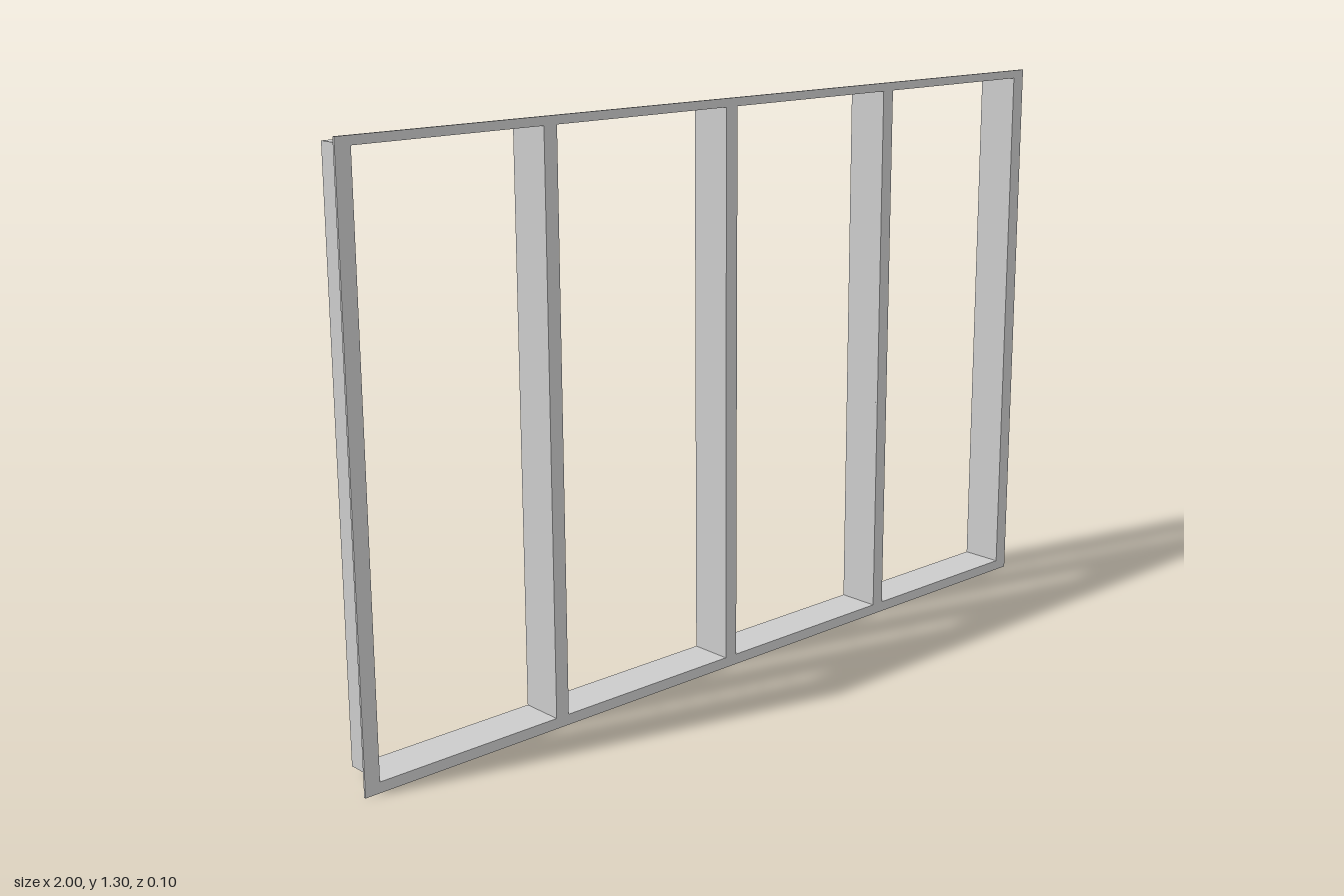
import * as THREE from 'three';

const HEIGHT = 1.305, FRONT = 0.05, PLATE = 0.005, BACK = -0.05;
const BOTTOM = 0.024, TOP = 1.286;
// left and right edge of each opening
const BAYS = [[-0.965, -0.517], [-0.484, -0.019], [0.014, 0.484], [0.516, 0.965]];

// rectangular outline as a path or shape
function rectangle(path, x0, y0, x1, y1) {
  return path.moveTo(x0, y0).lineTo(x1, y0).lineTo(x1, y1).lineTo(x0, y1).closePath();
}

export function createModel() {
  const group = new THREE.Group();
  group.name = 'fourBayFrame';
  const material = new THREE.MeshStandardMaterial({ color: 0xcccccc, side: THREE.DoubleSide });

  // thin front plate with four openings
  const face = rectangle(new THREE.Shape(), -1, 0, 1, HEIGHT);
  for (const [x0, x1] of BAYS) face.holes.push(rectangle(new THREE.Path(), x0, BOTTOM, x1, TOP));
  const plate = new THREE.Mesh(
    new THREE.ExtrudeGeometry(face, { depth: PLATE, bevelEnabled: false }), material);
  plate.position.z = FRONT - PLATE;
  plate.name = 'frontPlate';
  group.add(plate);

  // thin sheet sleeve lining each opening, running to the back
  const depth = FRONT - PLATE - BACK, zMid = BACK + depth / 2;
  const yMid = (BOTTOM + TOP) / 2;
  BAYS.forEach(([x0, x1], i) => {
    const sleeve = new THREE.Group();
    sleeve.name = `sleeve${i + 1}`;
    const addSheet = (name, geometry, x, y) => {
      const sheet = new THREE.Mesh(geometry, material);
      sheet.name = name;
      sheet.position.set(x, y, zMid);
      sleeve.add(sheet);
    };
    const side = new THREE.PlaneGeometry(depth, TOP - BOTTOM).rotateY(Math.PI / 2);
    const rail = new THREE.PlaneGeometry(x1 - x0, depth).rotateX(-Math.PI / 2);
    addSheet('rightJamb', side, x0, yMid);
    addSheet('leftJamb', side, x1, yMid);
    addSheet('sill', rail, (x0 + x1) / 2, BOTTOM);
    addSheet('head', rail, (x0 + x1) / 2, TOP);
    group.add(sleeve);
  });
  return group;
}
